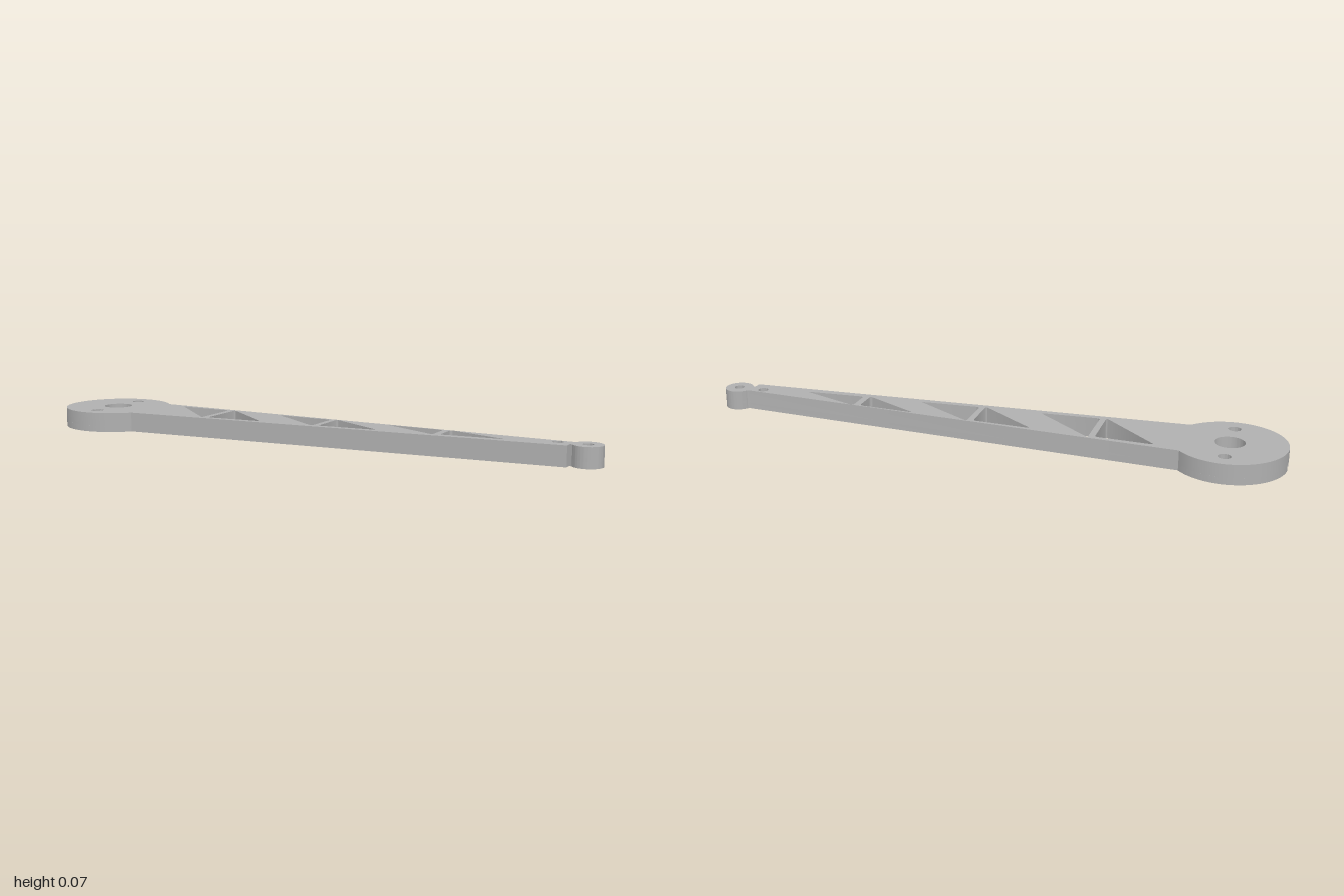
import * as THREE from 'three';
import { toCreasedNormals } from 'three/addons/utils/BufferGeometryUtils.js';

const HEIGHT = 0.068, SLOT_DEPTH = 0.022;
const HUB_X = -0.812, HUB_R = 0.188, TIP_X = 0.95, TIP_R = 0.05;
const SLOT_R = 0.02, SLOT_IN = 0.11, SLOT_OUT = 0.18;

// Outline of hub, tapering arm and tip eye; the lower layer has a slot open at the hub rim
function outline(slotted) {
  const s = new THREE.Shape();
  const a = Math.asin(0.12 / HUB_R), t = Math.PI / 6;
  s.moveTo(0.898, 0.05);
  if (slotted) {
    const b = Math.asin(SLOT_R / HUB_R);
    s.absarc(HUB_X, 0, HUB_R, a, Math.PI - b, false);
    s.absarc(HUB_X - SLOT_IN, 0, SLOT_R, Math.PI / 2, -Math.PI / 2, true);
    s.absarc(HUB_X, 0, HUB_R, Math.PI + b, 2 * Math.PI - a, false);
  } else {
    s.absarc(HUB_X, 0, HUB_R, a, 2 * Math.PI - a, false);
  }
  s.lineTo(0.898, -0.05);
  s.lineTo(0.898, -0.022);
  s.absarc(TIP_X, 0, TIP_R, -Math.PI + t, Math.PI - t, false);
  s.lineTo(0.898, 0.022);
  s.closePath();
  return s;
}

function roundHole(x, y, r) {
  return new THREE.Path().absarc(x, y, r, 0, Math.PI * 2, true);
}

// Triangular window with rounded corners
function triangleHole(points, cut = 0.014) {
  const p = points.map(([x, y]) => new THREE.Vector2(x, y));
  const toward = (from, to) => from.clone().add(to.clone().sub(from).setLength(cut));
  const path = new THREE.Path();
  p.forEach((corner, i) => {
    const start = toward(corner, p[(i + 2) % 3]), end = toward(corner, p[(i + 1) % 3]);
    if (i) path.lineTo(start.x, start.y);
    else path.moveTo(start.x, start.y);
    path.quadraticCurveTo(corner.x, corner.y, end.x, end.y);
  });
  path.closePath();
  return path;
}

const windows = [
  [[-0.585, 0.094], [-0.387, 0.085], [-0.387, -0.092]],
  [[-0.366, 0.096], [-0.366, -0.085], [-0.162, -0.074]],
  [[-0.168, 0.074], [0.037, 0.065], [0.037, -0.075]],
  [[0.057, 0.075], [0.057, -0.066], [0.268, -0.054]],
  [[0.258, 0.054], [0.459, 0.044], [0.459, -0.051]],
  [[0.482, 0.051], [0.482, -0.043], [0.695, -0.03]],
];

// One layer of the plate, lying flat with its underside at the given height
function layer(slotted, bottom, depth) {
  const shape = outline(slotted);
  shape.holes.push(
    roundHole(HUB_X, 0, 0.05),
    roundHole(HUB_X, 0.125, 0.021),
    roundHole(HUB_X, -0.125, 0.021),
    roundHole(0.855, 0, 0.018),
    roundHole(TIP_X, 0, 0.018),
    ...windows.map((w) => triangleHole(w)),
  );
  if (slotted) {
    const slot = new THREE.Path();
    slot.absarc(HUB_X + SLOT_IN, 0, SLOT_R, Math.PI / 2, Math.PI * 1.5, false);
    slot.absarc(HUB_X + SLOT_OUT, 0, SLOT_R, -Math.PI / 2, Math.PI / 2, false);
    slot.closePath();
    shape.holes.push(slot);
  }
  const geo = new THREE.ExtrudeGeometry(shape, { depth, bevelEnabled: false, curveSegments: 40 });
  geo.rotateX(-Math.PI / 2);
  geo.translate(0, bottom, 0);
  return toCreasedNormals(geo, Math.PI / 6);
}

export function createModel() {
  const group = new THREE.Group();
  group.name = 'leverArm';
  const grey = new THREE.MeshStandardMaterial({ color: 0xb0b0b0 });
  grey.name = 'light grey';

  // Slotted underside
  const lower = new THREE.Mesh(layer(true, 0, SLOT_DEPTH), grey);
  lower.name = 'slottedLowerPlate';

  // Solid upper part, closing the slots from above
  const upper = new THREE.Mesh(layer(false, SLOT_DEPTH, HEIGHT - SLOT_DEPTH), grey);
  upper.name = 'upperPlate';

  group.add(lower, upper);
  return group;
}
